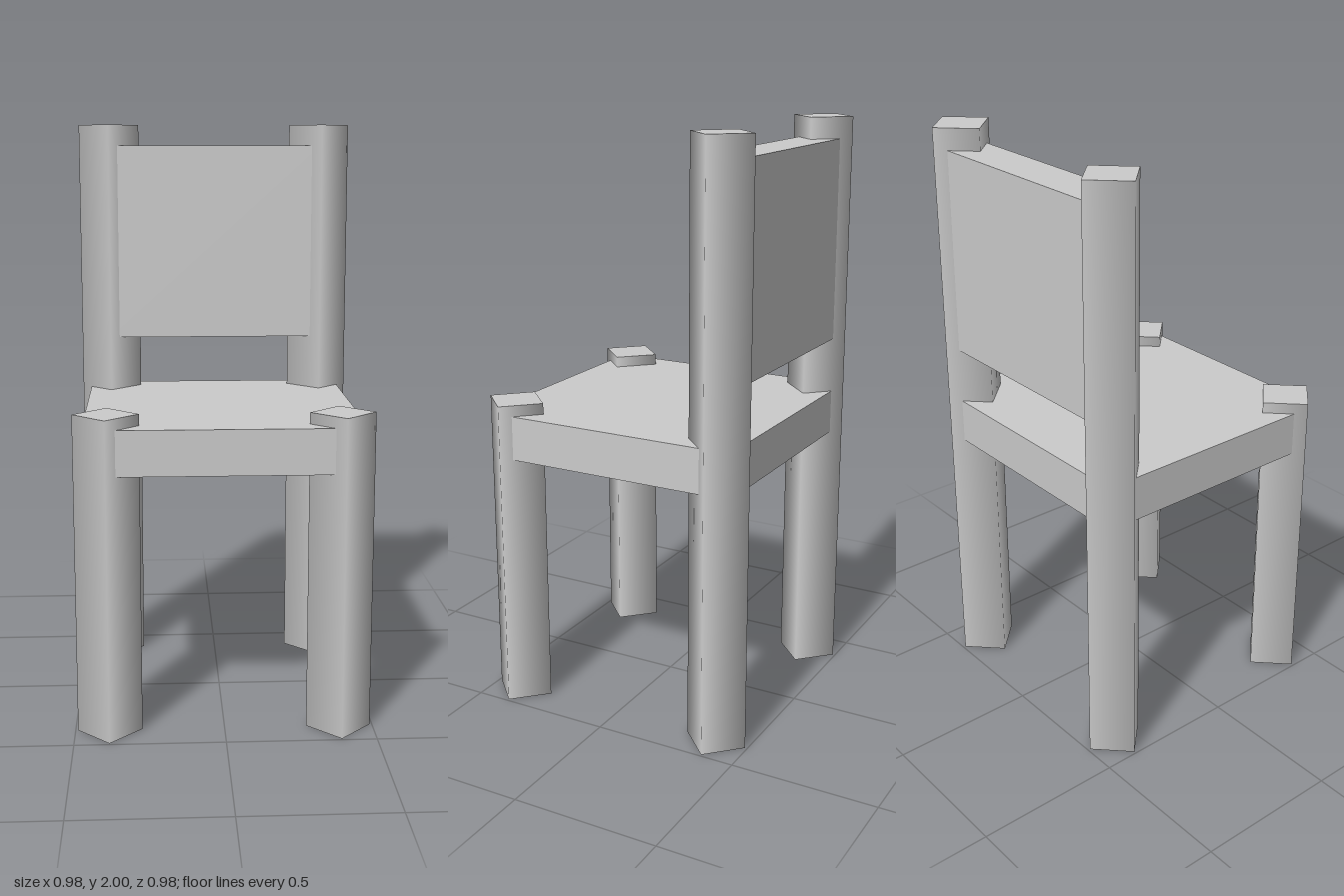
import * as THREE from 'three';

const LEG = 0.384;    // leg centre offset in x and z
const RADIUS = 0.108; // half diagonal of a leg
const EDGE = 0.46;    // half width of the seat

export function createModel() {
  const group = new THREE.Group();
  const material = new THREE.MeshStandardMaterial({ color: 0xcccccc });

  const add = (name, geometry, x, y, z) => {
    const mesh = new THREE.Mesh(geometry, material);
    mesh.name = name;
    mesh.position.set(x, y, z);
    group.add(mesh);
  };

  // Four-sided posts turned to a diamond, with smooth-shaded sides
  const post = (height) => new THREE.CylinderGeometry(RADIUS, RADIUS, height, 4);
  for (const side of [1, -1]) {
    const label = side > 0 ? 'Left' : 'Right';
    add('front' + label + 'Leg', post(1.08), side * LEG, 0.54, LEG);
    add('back' + label + 'Post', post(2), side * LEG, 1, -LEG);
  }

  // Square seat whose corners are cut off inside the legs
  const outline = new THREE.Shape([
    [LEG, -EDGE], [EDGE, -LEG], [EDGE, LEG], [LEG, EDGE],
    [-LEG, EDGE], [-EDGE, LEG], [-EDGE, -LEG], [-LEG, -EDGE],
  ].map(([x, y]) => new THREE.Vector2(x, y)));
  const seat = new THREE.ExtrudeGeometry(outline, { depth: 0.152, bevelEnabled: false });
  seat.rotateX(-Math.PI / 2);
  add('seat', seat, 0, 0.89, 0);

  // Back panel ending inside the back posts
  add('backrest', new THREE.BoxGeometry(2 * LEG, 0.694, 0.152), 0, 1.58, -LEG);

  return group;
}
